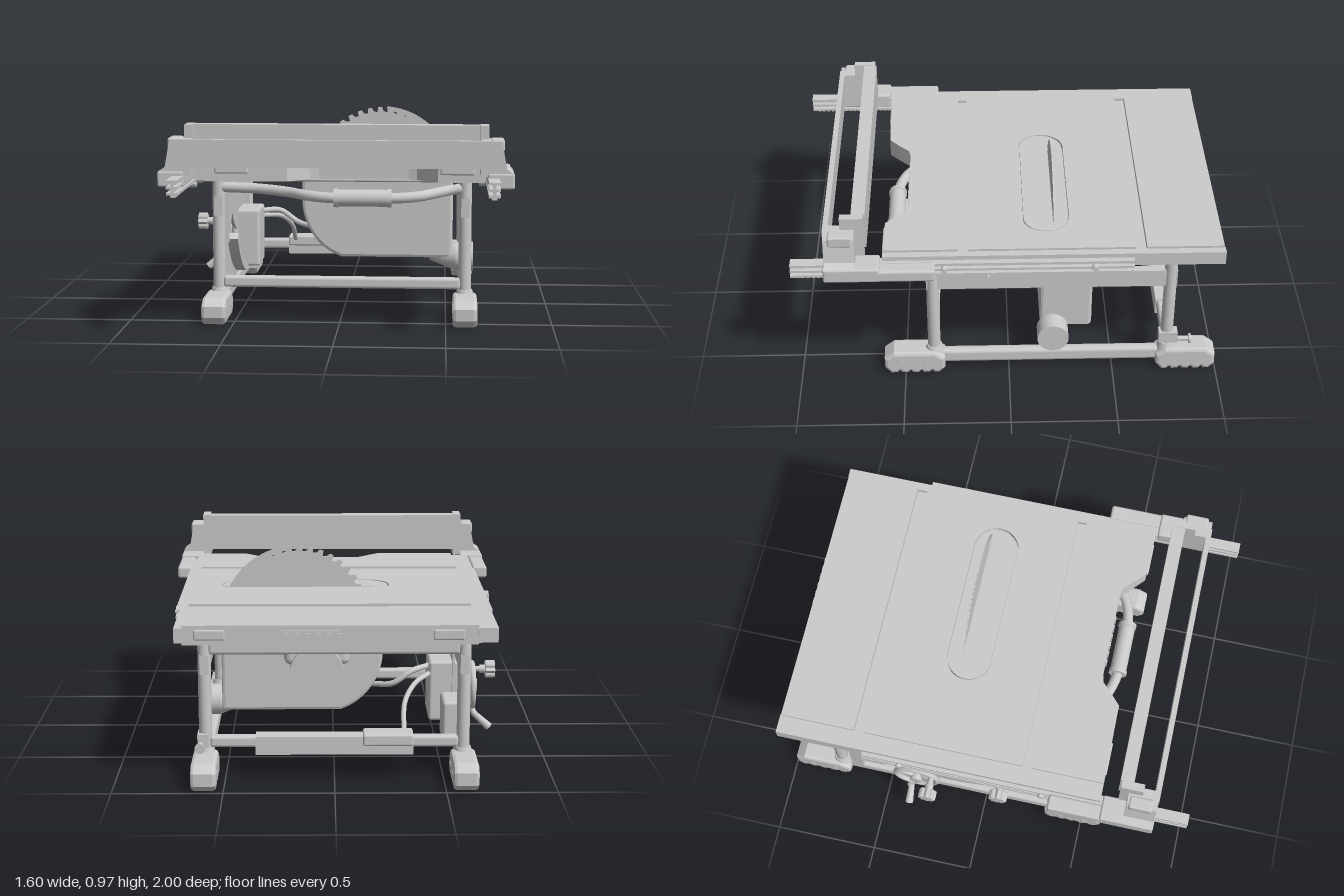
import * as THREE from 'three';
import { RoundedBoxGeometry } from 'three/addons/geometries/RoundedBoxGeometry.js';

const V = (x, y, z) => new THREE.Vector3(x, y, z);

export function createModel() {
  const root = new THREE.Group();
  const mat = new THREE.MeshStandardMaterial({ color: 0xcccccc, side: THREE.DoubleSide });
  const add = (name, geo, x = 0, y = 0, z = 0) => {
    const m = new THREE.Mesh(geo, mat);
    m.name = name;
    m.position.set(x, y, z);
    root.add(m);
    return m;
  };
  // Box given by its limits on each axis
  const box = (name, x0, x1, y0, y1, z0, z1, r = 0) => add(name,
    r ? new RoundedBoxGeometry(x1 - x0, y1 - y0, z1 - z0, 2, r) : new THREE.BoxGeometry(x1 - x0, y1 - y0, z1 - z0),
    (x0 + x1) / 2, (y0 + y1) / 2, (z0 + z1) / 2);
  // Cylinder from a to b
  const rod = (name, a, b, r, r2 = r, n = 24) => {
    const m = add(name, new THREE.CylinderGeometry(r2, r, a.distanceTo(b), n));
    m.position.copy(a).add(b).multiplyScalar(0.5);
    m.quaternion.setFromUnitVectors(V(0, 1, 0), b.clone().sub(a).normalize());
  };
  const tube = (name, pts, r) => add(name, new THREE.TubeGeometry(new THREE.CatmullRomCurve3(pts), 40, r, 12));
  const poly = pts => new THREE.Shape(pts.map(p => new THREE.Vector2(...p)));
  const slab = (shape, depth, bevel = 0) => new THREE.ExtrudeGeometry(shape, {
    depth, curveSegments: 24, bevelEnabled: bevel > 0, bevelSize: bevel, bevelThickness: bevel, bevelSegments: 2 });
  // Outline in x,z hanging down from height y
  const flat = (name, shape, y, depth) => { add(name, slab(shape, depth), 0, y).rotation.x = Math.PI / 2; };
  // Outline in z,y extruded from x towards -x
  const side = (name, shape, x, depth, bevel) => { add(name, slab(shape, depth, bevel), x).rotation.y = -Math.PI / 2; };
  const stadium = (x0, x1, z0, z1) => {
    const r = (z1 - z0) / 2, c = (z0 + z1) / 2;
    return new THREE.Shape().absarc(x0 + r, c, r, Math.PI / 2, Math.PI * 1.5).absarc(x1 - r, c, r, -Math.PI / 2, Math.PI / 2);
  };
  const band = (cx, cy, r0, r1, a0, a1) =>
    new THREE.Shape().absarc(cx, cy, r1, a0, a1, false).absarc(cx, cy, r0, a1, a0, true);

  // Table: hollow skirt, recessed base and three raised panels leaving two mitre grooves
  const edge = (i, zBack) => [[-.63 + i, zBack + i], [.67 - i, zBack + i], [.67 - i, .58 - i], [.46 - i, .575 - i],
    [.41 - i, .53 - i], [.36, .48 - i], [.32, .47 - i], [-.1, .47 - i], [-.14, .48 - i], [-.19 + i, .53 - i], [-.24 + i, .575 - i], [-.63 + i, .58 - i]];
  const skirt = poly(edge(0, -.985));
  skirt.holes.push(poly(edge(.025, -.985)));
  flat('tableSkirt', skirt, .74, .06);
  flat('tableBase', poly(edge(0, -.985)), .74, .02);
  flat('frontTablePanel', poly(edge(0, .235)), .768, .028);
  box('rearTablePanel', -.63, .67, .74, .768, -.985, -.63);
  const middle = poly([[-.63, -.58], [.67, -.58], [.67, .19], [-.63, .19]]);
  middle.holes.push(stadium(-.27, .54, -.285, -.065));
  flat('middleTablePanel', middle, .768, .028);
  flat('throatPlate', stadium(-.264, .534, -.279, -.071), .766, .026);
  box('bladeSlot', -.19, .53, .76, .768, -.222, -.208);
  for (const x of [-.5, .55]) {
    box('frontTab', x - .08, x + .08, .715, .755, .565, .584, .009);
    box('rearTab', x - .07, x + .07, .70, .75, -.989, -.97, .009);
  }
  // Ribbed grips in the rear skirt and the front recess
  box('rearGrip', -.04, .23, .68, .745, -.988, -.97);
  for (let i = 0; i < 6; i++) {
    const x = -.03 + i * .045;
    box('rearGripRib', x, x + .022, .685, .735, -.994, -.98);
    box('frontGripRib', x, x + .022, .685, .735, .46, .476);
  }

  // Blade, riving knife and blade housing
  const teeth = [], n = 40;
  for (let i = 0; i < n; i++) for (const [r, d] of [[.34, 0], [.34, .35], [.315, .45], [.32, .8]]) {
    const a = (i + d) / n * Math.PI * 2;
    teeth.push([.17 + r * Math.cos(a), .625 + r * Math.sin(a)]);
  }
  add('sawBlade', slab(poly(teeth), .006), 0, 0, -.215);
  const knife = new THREE.Shape().absarc(.17, .6, .37, .05, 1.5, false).absarc(.14, .61, .345, 1.4, .05, true);
  add('rivingKnife', slab(knife, .006), 0, 0, -.215);
  const shell = new THREE.Shape();
  shell.moveTo(-.22, .72).lineTo(.52, .72).lineTo(.52, .215).lineTo(-.03, .215);
  shell.bezierCurveTo(-.14, .255, -.22, .36, -.22, .5);
  add('bladeHousing', slab(shell, .22, .015), 0, 0, -.385);
  rod('dustPortCone', V(.42, .21, -.21), V(.56, .2, -.21), .03, .075);
  rod('dustPort', V(.55, .2, -.21), V(.64, .2, -.21), .075);
  rod('motor', V(.08, .47, -.38), V(.08, .47, -.71), .125, .125, 40);
  box('motorBracket', -.07, .23, .5, .63, -.68, -.39, .03);

  // Tilt panel with curved slot, guide flange, rear post and carriage
  const panel = poly([[.31, .12], [.31, .68], [-.42, .68], [-.42, .12]]);
  panel.holes.push(band(-.2, .69, .352, .43, -1.42, -.72));
  side('tiltPanel', panel, -.565, .012);
  side('tiltGuide', band(-.21, .69, .525, .565, -2.25, -.64), -.515, .085);
  box('tiltPanelRim', -.6, -.555, .34, .68, .245, .28);
  box('rearPost', -.62, -.57, .12, .69, -.7, -.64);
  box('carriage', -.6, -.455, .145, .44, -.4, -.16, .015);
  box('switchBox', -.6, -.5, .13, .33, -.7, -.52, .015);
  tube('powerCable', [V(-.46, .41, -.35), V(-.37, .4, -.42), V(-.28, .34, -.42), V(-.19, .32, -.36)], .014);
  tube('lowerCable', [V(-.46, .38, -.38), V(-.38, .36, -.5), V(-.33, .3, -.6), V(-.32, .2, -.72)], .012);

  // Handwheel with spokes, hub and crank
  const wheelZ = -.34;
  add('handwheel', new THREE.TorusGeometry(.105, .014, 10, 40), -.665, .31, wheelZ).rotation.y = Math.PI / 2;
  for (let i = 0; i < 3; i++) {
    const a = i * Math.PI * 2 / 3 + .5;
    rod('wheelSpoke', V(-.66, .31, wheelZ), V(-.665, .31 + .1 * Math.sin(a), wheelZ + .1 * Math.cos(a)), .013);
  }
  rod('wheelHub', V(-.59, .31, wheelZ), V(-.69, .31, wheelZ), .03);
  rod('crankArm', V(-.66, .21, wheelZ - .02), V(-.68, .17, wheelZ - .04), .014);
  rod('crankHandle', V(-.67, .18, wheelZ - .03), V(-.75, .105, wheelZ - .03), .014, .02);
  // Fluted knobs
  const knob = (x, y, z) => {
    rod('knobShaft', V(-.58, y, z), V(x + .03, y, z), .014);
    rod('knobCollar', V(x + .02, y, z), V(x + .05, y, z), .02);
    const star = Array.from({ length: 48 }, (_, i) => {
      const a = i / 48 * Math.PI * 2, r = .034 + .005 * Math.cos(8 * a);
      return [z + r * Math.cos(a), y + r * Math.sin(a)];
    });
    side('knob', poly(star), x + .02, .04, .004);
  };
  knob(-.76, .63, .1);
  knob(-.76, .365, -.26);

  // Frame: legs, feet, rails on each side
  for (const s of [-1, 1]) {
    const x = s * .59;
    for (const [zl, f] of [[.36, 1], [-.76, -1]]) {
      rod('leg', V(x, .08, zl), V(x, .72, zl), .03);
      rod('legSocket', V(x, .09, zl), V(x, .14, zl), .05, .036);
      const z0 = f > 0 ? .325 : -.98, z1 = f > 0 ? .585 : -.725;
      const foot = new THREE.Shape().moveTo(z0, .035).lineTo(z0 + .02, .015);
      for (let i = 0; i < 4; i++) {
        const a = z0 + .03 + i * .052;
        foot.lineTo(a, .015).quadraticCurveTo(a + .018, .04, a + .036, .015);
      }
      foot.lineTo(z1 - .02, .015).lineTo(z1, .04).lineTo(z1, .08).lineTo(z1 - .035, .107).lineTo(z0 + .035, .107).lineTo(z0, .08);
      side('foot', foot, x + .042, .084, .016);
      for (const dz of [.07, .19]) rod('footBolt', V(x - .06, .06, z0 + dz), V(x + .06, .06, z0 + dz), .016);
    }
    box('sideLowerRail', x - .025, x + .025, .035, .11, -.75, .35, .02);
    box('sideUpperRail', x - .02, x + .02, .49, .58, -.79, .39);
    // Fixed rail and sliding fence rail with rack
    const rx = s * .707;
    box('tableRail', s < 0 ? -.715 : .665, s < 0 ? -.625 : .705, .69, .757, -.99, .58);
    box('slideRailWeb', rx - .006, rx + .006, .67, .735, -.57, 1);
    for (const y of [.668, .695, .724]) box('slideRailFlange', rx - .026, rx + .026, y, y + .012, -.57, 1);
    for (let i = 0; i < 28; i++) box('rackTooth', rx - .012, rx + .012, .655, .67, .34 + i * .023, .352 + i * .023);
    for (const z of [.3, -.39]) rod('railBolt', V(s * .69, .7, z), V(s * .745, .7, z), .017, .013);
    // Fence carriage on each end
    box('fenceArm', s * .763 - .037, s * .763 + .037, .685, .745, .34, .66, .012);
    box('fenceFoot', s * .74 - .06, s * .74 + .06, .685, .757, .59, .845, .01);
    const cap = poly([[.65, .74], [.8, .74], [.795, .755], [.765, .775], [.745, .885], [.735, .9], [.65, .9]].map(p => [s * p[0], p[1]]));
    add('fenceEndBlock', slab(cap, .14), 0, 0, .7);
    box('fenceLatch', s * .725 - .03, s * .725 + .03, .85, .905, .71, .82, .01);
    // Tall end cap closing the fence beam
    box('fenceBeamCap', s * .668 - .019, s * .668 + .019, .745, .96, .66, .765);
  }
  rod('pinionShaft', V(-.7, .63, .1), V(.71, .63, .1), .009);
  rod('pinion', V(.66, .63, .1), V(.69, .63, .1), .026, .026, 12);
  box('frontLowerRail', -.57, .57, .14, .195, .335, .385, .015);
  box('rearLowerRail', -.57, .57, .14, .195, -.785, -.735, .015);
  box('rearUpperRail', -.57, .57, .58, .655, -.785, -.735, .015);
  box('rearPlate', -.36, .36, .115, .2, -.81, -.73);
  box('rearPlateCover', -.36, -.13, .16, .215, -.83, -.72, .01);
  // Tool holder on the rear leg
  box('holderBracket', .575, .625, .15, .21, -.81, -.72);
  rod('holderPin', V(.61, .165, -.78), V(.61, .165, -.87), .012);
  rod('holderPinHead', V(.61, .165, -.865), V(.61, .165, -.875), .024);

  // Front carrying handle, bowed out from leg to leg
  tube('handleBar', [V(-.58, .625, .36), V(-.4, .62, .375), V(-.25, .612, .43), V(-.15, .605, .5), V(-.04, .6, .533), V(.11, .6, .535),
    V(.26, .6, .533), V(.37, .605, .5), V(.45, .612, .43), V(.52, .62, .375), V(.58, .625, .36)], .025);
  rod('handleGrip', V(-.02, .6, .535), V(.24, .6, .535), .04);
  for (const x of [-.025, .225]) rod('gripRing', V(x, .6, .535), V(x + .02, .6, .535), .044);

  // Fence: tall rear beam and lower front plate
  box('fenceBeam', -.65, .65, .775, .958, .652, .715);
  box('fencePlate', -.7, .7, .775, .9, .82, .845);
  return root;
}
